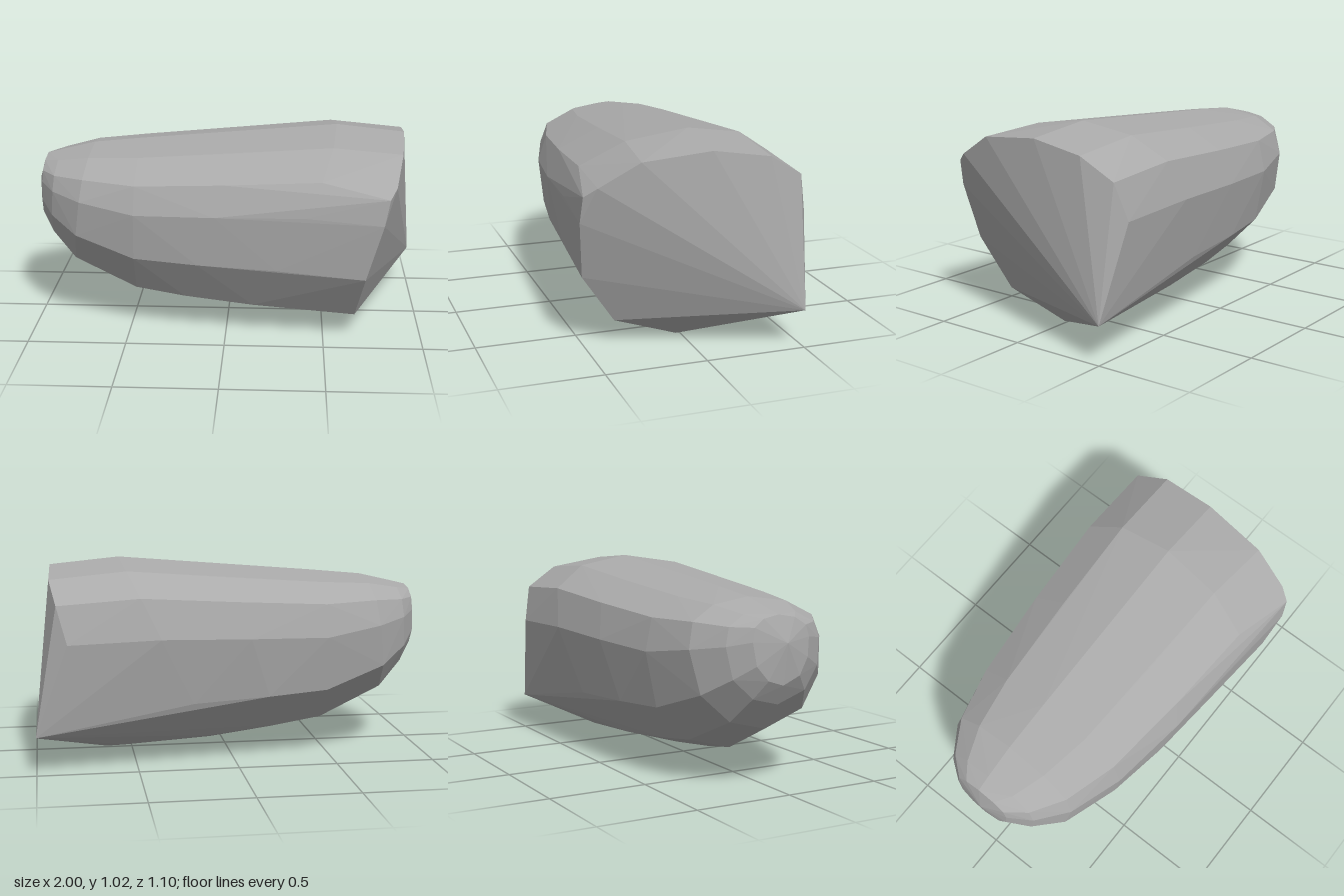
import * as THREE from 'three';
import { ConvexGeometry } from 'three/addons/geometries/ConvexGeometry.js';

// Outline of one cross-section: [back-to-front fraction, bottom-to-top fraction]
const OUTLINE = [
  [0.52, 0], [0.82, 0.12], [0.97, 0.37], [1, 0.66], [0.95, 0.83], [0.75, 0.95],
  [0.46, 1], [0.2, 0.955], [0.04, 0.84], [0, 0.64], [0.06, 0.3], [0.26, 0.08],
];

// Slanted sections: [x bottom, y bottom, x top, y top, z back, z front]
const SECTIONS = [
  [0.08, 0.035, 0.56, 1.02, -0.55, 0.52],
  [-0.25, 0.08, 0.05, 0.975, -0.52, 0.485],
  [-0.47, 0.12, -0.45, 0.935, -0.47, 0.43],
  [-0.8, 0.28, -0.71, 0.91, -0.395, 0.345],
  [-0.92, 0.42, -0.88, 0.87, -0.29, 0.23],
  [-0.98, 0.52, -0.96, 0.85, -0.19, 0.12],
];

// Broken end: rim of the fracture, running round to its sharp corner
const RIM = [
  [0.63, 0, 0.02], [0.66, 0.12, 0.35], [0.7, 0.37, 0.52], [0.78, 0.66, 0.55],
  [0.805, 0.79, 0.54], [0.84, 0.835, 0.48], [0.88, 0.95, 0.285], [0.91, 0.985, -0.05],
  [0.92, 0.94, -0.335], [0.89, 0.835, -0.505], [0.84, 0.65, -0.55], [1, 0.19, -0.5],
];

export function createModel() {
  const group = new THREE.Group();
  group.name = 'rock';

  const stone = new THREE.MeshStandardMaterial({ color: 0xaaaaaa });
  stone.name = 'grey stone';

  const points = RIM.map((p) => new THREE.Vector3(...p));
  for (const [xb, yb, xt, yt, zb, zf] of SECTIONS) {
    for (const [u, v] of OUTLINE) {
      points.push(new THREE.Vector3(
        THREE.MathUtils.lerp(xb, xt, v),
        THREE.MathUtils.lerp(yb, yt, v),
        THREE.MathUtils.lerp(zb, zf, u),
      ));
    }
  }
  // Blunt tip and a low corner under the fracture
  points.push(new THREE.Vector3(-1, 0.72, -0.02), new THREE.Vector3(0.55, 0.08, -0.265));

  // Flat-faceted boulder wrapped around the sections
  const boulder = new THREE.Mesh(new ConvexGeometry(points), stone);
  boulder.name = 'boulder';
  group.add(boulder);
  return group;
}
